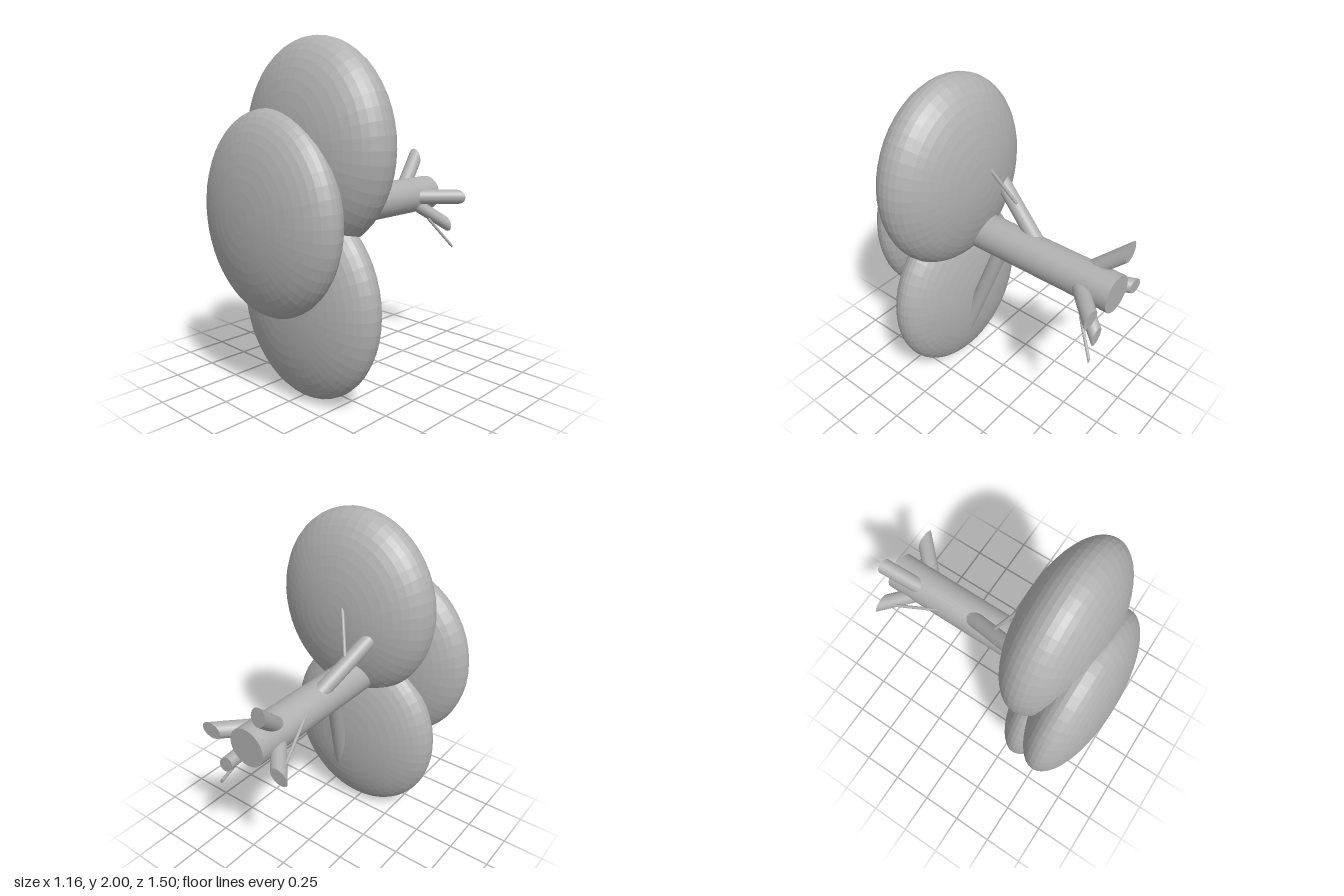
import * as THREE from 'three';

const BACK = -0.75; // plane where the trunk and rear branches are cut off

export function createModel() {
  const model = new THREE.Group();
  model.name = 'tree';
  const grey = new THREE.MeshStandardMaterial({ color: 0xb0b0b0 });
  grey.name = 'grey';
  const greyFaceted = new THREE.MeshStandardMaterial({ color: 0xb0b0b0, flatShading: true });
  greyFaceted.name = 'grey';

  const add = (name, geometry, material) => {
    const mesh = new THREE.Mesh(geometry, material);
    mesh.name = name;
    model.add(mesh);
    return mesh;
  };

  // Flattened foliage lobe with its poles along z
  const foliage = (name, centre, radii) => {
    const geo = new THREE.SphereGeometry(1, 48, 24);
    geo.rotateX(Math.PI / 2);
    geo.scale(...radii);
    add(name, geo, greyFaceted).position.set(...centre);
  };

  // Round limb between two points; limbs ending at BACK are sliced flat there
  const limb = (name, from, to, radius) => {
    const a = new THREE.Vector3(...from);
    const b = new THREE.Vector3(...to);
    const dir = b.clone().sub(a);
    const length = dir.length();
    dir.normalize();
    const geo = new THREE.CylinderGeometry(radius, radius, length, 32);
    geo.translate(0, length / 2, 0);
    const pos = geo.attributes.position;
    const atEnd = Array.from({ length: pos.count }, (_, i) => pos.getY(i) > length / 2);
    geo.applyQuaternion(new THREE.Quaternion().setFromUnitVectors(new THREE.Vector3(0, 1, 0), dir));
    geo.translate(...from);
    if (to[2] === BACK) {
      const p = new THREE.Vector3();
      atEnd.forEach((end, i) => {
        if (!end) return;
        p.fromBufferAttribute(pos, i);
        p.addScaledVector(dir, (BACK - p.z) / dir.z);
        pos.setXYZ(i, p.x, p.y, p.z);
      });
      // the sliced cap faces straight back
      const normal = geo.attributes.normal;
      const cap = geo.groups[1];
      for (let k = cap.start; k < cap.start + cap.count; k++) normal.setXYZ(geo.index.getX(k), 0, 0, -1);
    }
    add(name, geo, grey);
  };

  // Foliage
  foliage('upperFoliage', [0.065, 1.435, 0.325], [0.512, 0.565, 0.25]);
  foliage('frontFoliage', [-0.07, 1.065, 0.545], [0.513, 0.565, 0.205]);
  foliage('lowerFoliage', [0.022, 0.572, 0.36], [0.513, 0.567, 0.2]);

  // Trunk
  limb('trunk', [-0.028, 1.045, 0.38], [-0.028, 1.045, BACK], 0.112);

  // Branches reaching into the foliage
  limb('upperBranch', [-0.04, 1.06, -0.27], [-0.19, 1.42, 0.25], 0.045);
  limb('lowerBranch', [0.0, 1.045, -0.01], [0.1, 0.3, 0.235], 0.044);
  limb('upperTwig', [-0.12, 1.23, -0.04], [0.02, 1.55, 0.11], 0.01);

  // Branches spreading at the rear
  limb('rearBranchUp', [-0.03, 1.0, -0.45], [-0.125, 1.27, BACK], 0.045);
  limb('rearBranchLeft', [-0.03, 1.045, -0.49], [0.225, 1.045, BACK], 0.046);
  limb('rearBranchRight', [-0.03, 1.045, -0.51], [-0.24, 0.96, BACK], 0.044);
  limb('rearBranchDown', [-0.01, 1.045, -0.5], [0.14, 0.86, BACK], 0.04);
  limb('rearTwigDown', [0.1, 0.9, -0.62], [0.19, 0.72, BACK], 0.009);
  limb('rearTwigRight', [-0.11, 1.1, -0.36], [-0.23, 0.98, -0.7], 0.009);
  return model;
}
